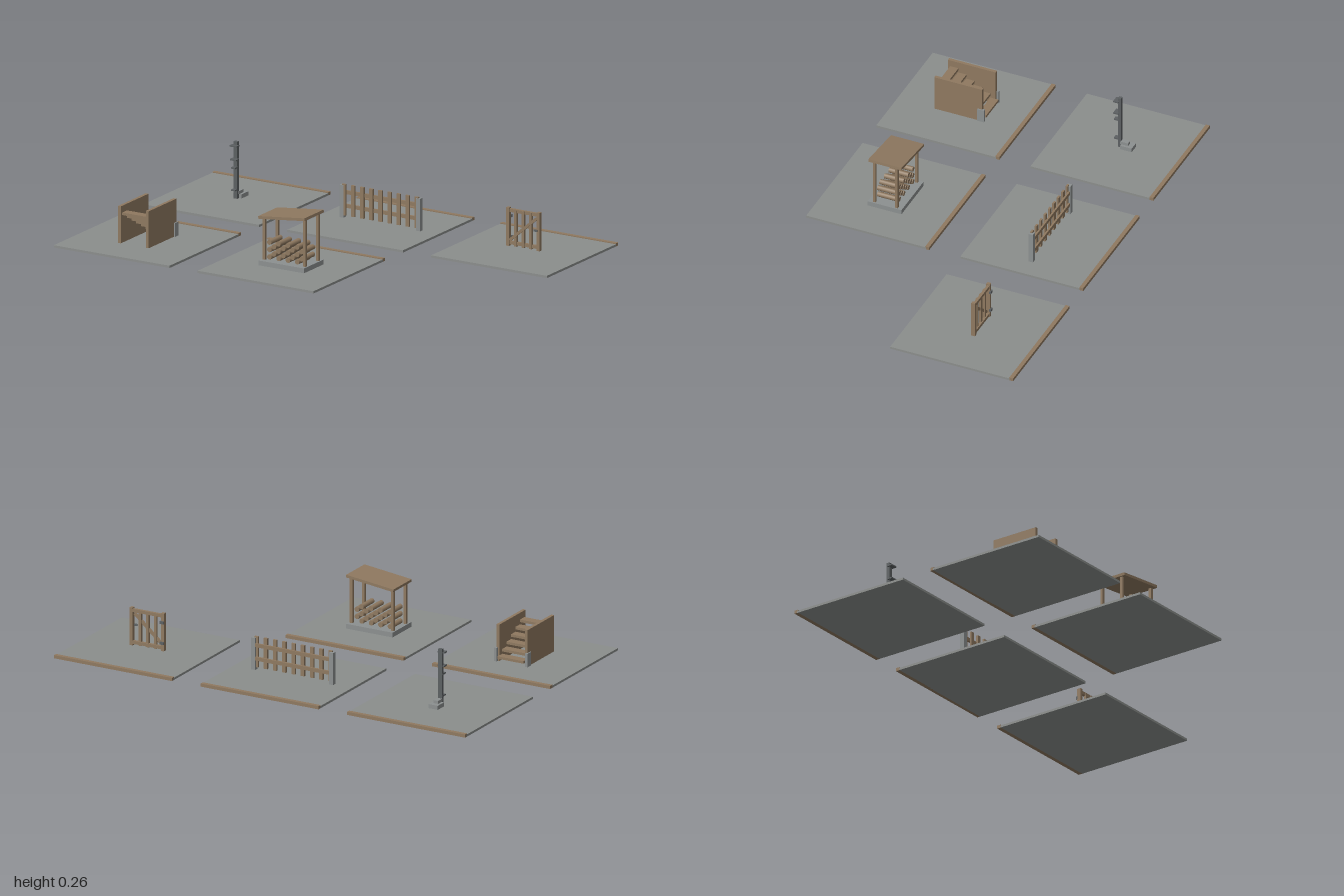
import * as THREE from 'three';

const mat = (name, color) => {
  const m = new THREE.MeshStandardMaterial({ color });
  m.name = name;
  return m;
};

export function createModel() {
  const ground = mat('ground grey', 0x8b8e8c);
  const wood = mat('weathered wood', 0x8f7960);
  const stone = mat('stone grey', 0x8c9090);
  const metal = mat('dark metal', 0x5c6062);

  const model = new THREE.Group();
  model.name = 'gardenSet';

  const group = (name, x, z) => {
    const g = new THREE.Group();
    g.name = name;
    g.position.set(x, 0, z);
    model.add(g);
    return g;
  };
  // Box given by its minimum and maximum on each axis
  const box = (parent, name, material, [x0, x1], [y0, y1], [z0, z1]) => {
    const mesh = new THREE.Mesh(new THREE.BoxGeometry(x1 - x0, y1 - y0, z1 - z0), material);
    mesh.position.set((x0 + x1) / 2, (y0 + y1) / 2, (z0 + z1) / 2);
    mesh.name = name;
    parent.add(mesh);
    return mesh;
  };

  const TOP = 0.01; // upper face of every ground plate
  const ROW = 0.356;
  const COL = 0.713;

  // Five ground plates, each with a wooden strip along the back
  for (const [x, z] of [[-COL, -ROW], [0, -ROW], [COL, -ROW], [-COL, ROW], [0, ROW]]) {
    const g = group('groundPlate', x, z);
    box(g, 'plate', ground, [-0.287, 0.287], [0, TOP], [-0.27, 0.284]);
    box(g, 'backStrip', wood, [-0.287, 0.287], [0, 0.014], [-0.284, -0.266]);
  }

  // Steps climbing towards the front between two side panels
  const steps = group('steps', -COL, ROW);
  for (const s of [-1, 1]) {
    const x = s * 0.069;
    box(steps, 'sidePanel', wood, [x - 0.007, x + 0.007], [TOP, 0.172], [-0.109, 0.112]);
    const bx = s * 0.075;
    box(steps, 'stoneBlock', stone, [bx - 0.006, bx + 0.006], [TOP, 0.07], [-0.119, -0.088]);
  }
  for (let i = 0; i < 6; i++) {
    const y = 0.028 + i * 0.0215;
    const z = -0.122 + i * 0.037;
    box(steps, 'tread', wood, [-0.063, 0.063], [y - 0.004, y + 0.007], [z, z + 0.038]);
  }

  // Log store: stone base, four posts, sloping roof and stacked logs
  const store = group('logStore', 0, ROW);
  box(store, 'base', stone, [-0.113, 0.113], [TOP, 0.031], [-0.077, 0.08]);
  for (const z of [-0.051, 0.052]) {
    box(store, 'lowPost', wood, [-0.107, -0.094], [0.03, 0.216], [z - 0.006, z + 0.006]);
    box(store, 'highPost', wood, [0.094, 0.107], [0.03, 0.238], [z - 0.006, z + 0.006]);
  }
  const roof = box(store, 'roof', wood, [-0.117, 0.114], [0.225, 0.237], [-0.077, 0.076]);
  roof.rotation.z = 0.112;
  const logShape = new THREE.CylinderGeometry(0.011, 0.011, 0.09, 10).rotateX(Math.PI / 2);
  for (let row = 0; row < 5; row++) {
    for (let i = 0; i < 4; i++) {
      const log = new THREE.Mesh(logShape, wood);
      log.name = 'log';
      log.position.set((i - 1.5) * 0.046 + (row % 2 ? 0.0115 : -0.0115), 0.042 + row * 0.0162, 0.001);
      store.add(log);
    }
  }

  // Picket fence between two stone posts
  const fence = group('fence', 0, -ROW);
  for (const s of [-1, 1]) {
    const x = s * 0.19;
    box(fence, 'endPost', stone, [x - 0.01, x + 0.01], [TOP, 0.152], [-0.012, 0.008]);
  }
  for (let i = -4; i <= 4; i++) {
    const x = i * 0.045;
    box(fence, 'picket', wood, [x - 0.009, x + 0.009], [0.02, 0.157], [-0.003, 0.006]);
  }
  for (const y of [0.06, 0.12]) {
    box(fence, 'rail', wood, [-0.19, 0.19], [y - 0.008, y + 0.008], [-0.011, -0.002]);
  }

  // Gate with frame, pickets, diagonal brace and ironwork
  const gate = group('gate', 0.707, -ROW);
  for (const s of [-1, 1]) {
    const x = s * 0.076;
    box(gate, 'stile', wood, [x - 0.007, x + 0.007], [0.014, 0.182], [-0.012, 0.005]);
  }
  for (const y of [0.028, 0.17]) {
    box(gate, 'crossRail', wood, [-0.082, 0.082], [y - 0.007, y + 0.007], [-0.011, 0.001]);
  }
  for (let i = -1; i <= 1; i++) {
    const x = i * 0.037;
    box(gate, 'gatePicket', wood, [x - 0.006, x + 0.006], [0.016, 0.176], [-0.006, 0.004]);
  }
  const brace = box(gate, 'brace', wood, [-0.087, 0.087], [0.091, 0.103], [-0.002, 0.007]);
  brace.rotation.z = Math.atan2(0.115, 0.134);
  box(gate, 'latch', metal, [0.056, 0.073], [0.098, 0.106], [0.002, 0.009]);
  for (const y of [0.05, 0.142]) {
    box(gate, 'hinge', metal, [-0.084, -0.066], [y - 0.006, y + 0.006], [-0.018, -0.01]);
  }

  // Standpipe with projecting brackets and two stones behind it
  const pipe = group('standpipe', -0.716, -ROW);
  box(pipe, 'pole', metal, [-0.009, 0.009], [TOP, 0.26], [-0.006, 0.008]);
  for (const [y, w] of [[0.243, 0.017], [0.183, 0.016], [0.147, 0.01], [0.05, 0.01]]) {
    box(pipe, 'bracket', metal, [-w, w], [y - 0.003, y + 0.003], [0.002, 0.026]);
  }
  box(pipe, 'lowerStone', stone, [-0.022, 0.022], [TOP, 0.028], [-0.062, -0.008]);
  box(pipe, 'upperStone', stone, [-0.011, 0.011], [0.028, 0.041], [-0.04, -0.004]);

  return model;
}
